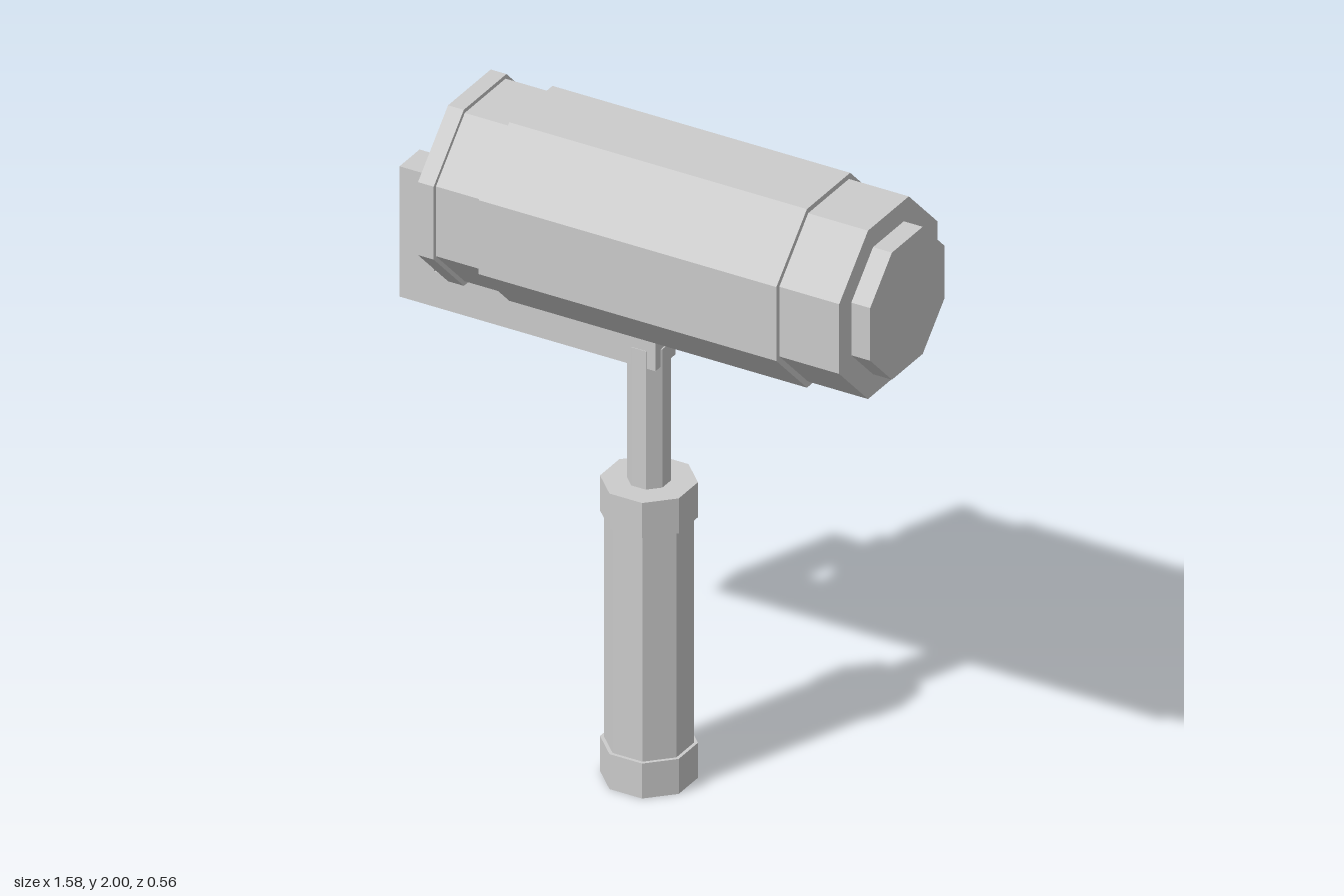
import * as THREE from 'three';

export function createModel() {
  const model = new THREE.Group();
  model.name = 'paintRoller';
  const grey = new THREE.MeshStandardMaterial({ color: 0xcccccc, flatShading: true });
  grey.name = 'plain grey';

  // Octagonal prism from its flat-to-centre distance, with flats facing the axes
  const prism = (flat, length) => {
    const r = flat / Math.cos(Math.PI / 8);
    return new THREE.CylinderGeometry(r, r, length, 8, 1, false, Math.PI / 8);
  };
  const add = (name, geometry, x, y, z = 0) => {
    const mesh = new THREE.Mesh(geometry, grey);
    mesh.name = name;
    mesh.position.set(x, y, z);
    model.add(mesh);
  };

  // Roller parts along x: name, start, end, flat distance
  for (const [name, x0, x1, flat] of [
    ['axle', -0.68, -0.6, 0.086],
    ['innerRim', -0.6, -0.55, 0.277],
    ['innerCore', -0.55, -0.405, 0.265],
    ['rollerSleeve', -0.405, 0.54, 0.281],
    ['outerCore', 0.54, 0.73, 0.265],
    ['endCap', 0.73, 0.79, 0.2],
  ]) add(name, prism(flat, x1 - x0).rotateZ(Math.PI / 2), (x0 + x1) / 2, 1.72);

  // Upright parts: name, bottom, top, flat distance
  for (const [name, y0, y1, flat] of [
    ['handleEnd', 0, 0.11, 0.125],
    ['handleGrip', 0.11, 0.82, 0.115],
    ['handleCollar', 0.82, 0.93, 0.125],
    ['stem', 0.93, 1.365, 0.056],
  ]) add(name, prism(flat, y1 - y0), -0.03, (y0 + y1) / 2);

  // L-shaped bracket joining stem and axle
  const shape = new THREE.Shape([
    [-0.79, 1.31], [0.022, 1.31], [0.022, 1.42],
    [-0.68, 1.42], [-0.68, 1.72], [-0.79, 1.72],
  ].map(([x, y]) => new THREE.Vector2(x, y)));
  add('bracket', new THREE.ExtrudeGeometry(shape, { depth: 0.108, bevelEnabled: false }), 0, 0, -0.054);

  return model;
}
